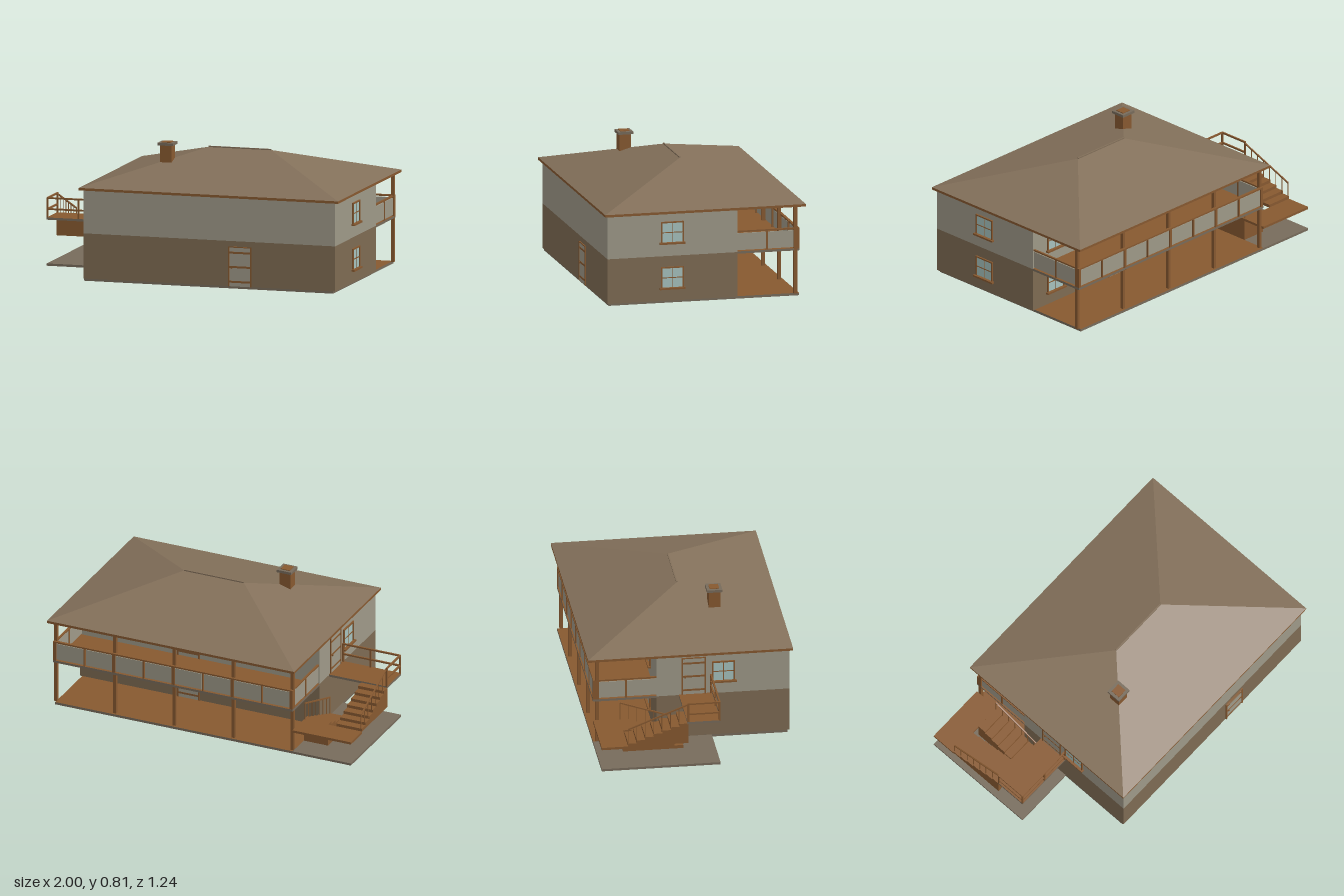
import * as THREE from 'three';

const mat = (name, color) => {
  const m = new THREE.MeshStandardMaterial({ color });
  m.name = name;
  return m;
};

export function createModel() {
  const wood = mat('wood', 0x875930);
  const stone = mat('lower wall', 0x7e6b53);
  const plaster = mat('upper wall', 0x9e9988);
  const roofMat = mat('roof', 0x83705a);
  const trim = mat('slab edge', 0x776b5b);
  const glass = mat('glass', 0xa6c2be);

  const house = new THREE.Group();
  house.name = 'house';
  const group = (name, parent = house) => {
    const g = new THREE.Group();
    g.name = name;
    parent.add(g);
    return g;
  };
  // Box given by its min and max along each axis
  const box = (parent, name, m, x0, x1, y0, y1, z0, z1) => {
    const mesh = new THREE.Mesh(new THREE.BoxGeometry(x1 - x0, y1 - y0, z1 - z0), m);
    mesh.position.set((x0 + x1) / 2, (y0 + y1) / 2, (z0 + z1) / 2);
    mesh.name = name;
    parent.add(mesh);
    return mesh;
  };
  // Square bar between two points
  const bar = (parent, name, a, b, t = 0.01) => {
    const p = new THREE.Vector3(...a), q = new THREE.Vector3(...b);
    const mesh = new THREE.Mesh(new THREE.BoxGeometry(t, t, p.distanceTo(q)), wood);
    mesh.position.copy(p).add(q).multiplyScalar(0.5);
    mesh.lookAt(q);
    mesh.name = name;
    parent.add(mesh);
  };

  // Ground slabs and balcony deck: wooden top, grey edge
  const edged = (top, bottom) => [trim, trim, top, bottom, trim, trim];
  box(house, 'floorSlab', edged(wood, wood), -0.615, 0.955, 0, 0.015, -0.59, 0.59);
  box(house, 'patio', trim, -1, -0.615, 0, 0.014, -0.59, 0.13);
  box(house, 'balconyDeck', edged(wood, stone), -0.615, 0.97, 0.28, 0.294, -0.59, -0.205);
  box(house, 'upperLanding', edged(wood, stone), -1, -0.615, 0.28, 0.294, -0.07, 0.13);

  // Two-tone walls
  box(house, 'lowerWalls', stone, -0.615, 0.97, 0.015, 0.29, -0.205, 0.6);
  box(house, 'upperWalls', plaster, -0.615, 0.97, 0.29, 0.555, -0.205, 0.6);

  // Hipped roof: four slopes over a wooden eave
  box(house, 'eaves', wood, -0.64, 0.995, 0.553, 0.568, -0.623, 0.62);
  const A = [-0.64, 0.568, 0.62], B = [0.995, 0.568, 0.62], C = [0.995, 0.568, -0.623], D = [-0.64, 0.568, -0.623];
  const L = [-0.02, 0.753, 0], R = [0.375, 0.753, 0];
  const slopes = [A, B, R, A, R, L, B, C, R, C, D, L, C, L, R, D, A, L];
  const roofGeo = new THREE.BufferGeometry();
  roofGeo.setAttribute('position', new THREE.Float32BufferAttribute(slopes.flat(), 3));
  roofGeo.computeVertexNormals();
  const roof = new THREE.Mesh(roofGeo, roofMat);
  roof.name = 'roof';
  house.add(roof);
  box(house, 'ridgeCap', roofMat, -0.02, 0.375, 0.748, 0.759, -0.004, 0.004);

  // Chimney
  const chimney = group('chimney');
  box(chimney, 'chimneyStack', wood, -0.252, -0.18, 0.6, 0.787, 0.162, 0.232);
  box(chimney, 'chimneyCap', trim, -0.264, -0.168, 0.787, 0.803, 0.15, 0.243);
  box(chimney, 'flue', wood, -0.246, -0.186, 0.803, 0.807, 0.168, 0.226);

  // Window and door, modelled facing +z and then turned onto a wall
  const place = (g, x, y, z, turn) => {
    g.position.set(x, y, z);
    g.rotation.y = turn;
  };
  const addWindow = (x, y, z, turn) => {
    const g = group('window');
    box(g, 'pane', glass, -0.066, 0.066, 0.004, 0.126, 0, 0.004);
    for (const s of [-1, 1]) box(g, 'frameSide', wood, s * 0.066 - 0.004, s * 0.066 + 0.004, 0, 0.13, 0, 0.01);
    box(g, 'frameTop', wood, -0.07, 0.07, 0.122, 0.13, 0, 0.01);
    box(g, 'mullion', wood, -0.002, 0.002, 0, 0.125, 0, 0.007);
    box(g, 'crossBar', wood, -0.066, 0.066, 0.061, 0.066, 0, 0.007);
    box(g, 'sill', wood, -0.079, 0.079, -0.008, 0.003, 0, 0.02);
    place(g, x, y, z, turn);
  };
  const addDoor = (x, y, z, turn) => {
    const g = group('door');
    box(g, 'doorLeaf', plaster, -0.068, 0.068, 0, 0.238, 0, 0.003);
    for (const s of [-1, 1]) box(g, 'doorFrame', wood, s * 0.07 - 0.004, s * 0.07 + 0.004, 0, 0.242, 0, 0.007);
    box(g, 'doorHead', wood, -0.074, 0.074, 0.236, 0.242, 0, 0.007);
    for (const h of [0.028, 0.118, 0.205]) box(g, 'doorBand', wood, -0.068, 0.068, h - 0.006, h + 0.006, 0, 0.005);
    box(g, 'doorHandle', wood, -0.055, -0.047, 0.108, 0.118, 0, 0.01);
    place(g, x, y, z, turn);
  };
  const H = Math.PI / 2;
  addWindow(0.97, 0.094, 0.2, H);
  addWindow(0.97, 0.372, 0.2, H);
  addWindow(-0.615, 0.372, 0.2, -H);
  for (const x of [0.78, -0.3]) {
    addWindow(x, 0.094, -0.205, Math.PI);
    addWindow(x, 0.372, -0.205, Math.PI);
  }
  addDoor(0.37, 0.015, 0.6, 0);
  addDoor(0.25, 0.015, -0.205, Math.PI);
  addDoor(0.25, 0.294, -0.205, Math.PI);
  addDoor(-0.615, 0.294, 0.02, -H);

  // Porch posts and balcony railing with solid panels
  const porch = group('porch');
  const x0 = -0.605, bay = (0.96 - x0) / 8;
  for (let i = 0; i <= 8; i++) {
    const x = x0 + i * bay;
    if (i % 2 === 0) box(porch, 'porchPost', wood, x - 0.01, x + 0.01, 0.015, 0.555, -0.576, -0.555);
    const w = i % 2 ? 0.004 : 0.01;
    box(porch, 'railPost', wood, x - w, x + w, 0.29, 0.418, -0.589, -0.57);
    if (i < 8) box(porch, 'railPanel', plaster, x + 0.008, x + bay - 0.008, 0.3, 0.404, -0.583, -0.577);
  }
  box(porch, 'topRail', wood, x0 - 0.01, 0.97, 0.41, 0.42, -0.589, -0.572);
  for (const x of [x0, 0.96]) {
    box(porch, 'sidePanel', plaster, x - 0.003, x + 0.003, 0.3, 0.404, -0.56, -0.205);
    box(porch, 'sideRail', wood, x - 0.006, x + 0.006, 0.41, 0.42, -0.58, -0.205);
    box(porch, 'sidePost', wood, x - 0.006, x + 0.006, 0.29, 0.412, -0.396, -0.384);
  }

  // Stairs: two flights turning at a half landing
  const stairs = group('stairs');
  const run = 0.365 / 7;
  box(stairs, 'halfLanding', wood, -1, -0.615, 0.141, 0.156, -0.59, -0.43);
  for (let i = 0; i < 7; i++) {
    const z1 = -0.065 - i * run, z2 = -0.43 + i * run;
    box(stairs, 'lowerStep', wood, -0.775, -0.615, 0.014, 0.034 + i * 0.0202, z1 - run, z1);
    box(stairs, 'upperStep', wood, -1, -0.83, 0.155, 0.174 + i * 0.0185, z2, z2 + run);
  }

  // Sloping handrails with thin balusters
  const handrail = (x, za, ya, zb, yb, drop) => {
    bar(stairs, 'handrail', [x, ya, za], [x, yb, zb], 0.008);
    for (let i = 0; i <= 7; i++) {
      const t = i / 7, z = za + (zb - za) * t, y = ya + (yb - ya) * t;
      bar(stairs, 'baluster', [x, y - drop, z], [x, y, z], 0.004);
    }
  };
  handrail(-0.622, -0.07, 0.142, -0.428, 0.265, 0.11);
  handrail(-0.992, -0.428, 0.265, -0.07, 0.405, 0.11);

  // Open railing round the upper landing
  const rail = group('landingRailing');
  for (const y of [0.345, 0.412]) {
    bar(rail, 'frontRail', [-0.995, y, 0.125], [-0.615, y, 0.125]);
    bar(rail, 'sideRail', [-0.995, y, 0.125], [-0.995, y, -0.07]);
  }
  for (const [x, z] of [[-0.995, 0.125], [-0.8, 0.125], [-0.62, 0.125], [-0.995, -0.065]])
    bar(rail, 'landingPost', [x, 0.29, z], [x, 0.416, z]);

  return house;
}
